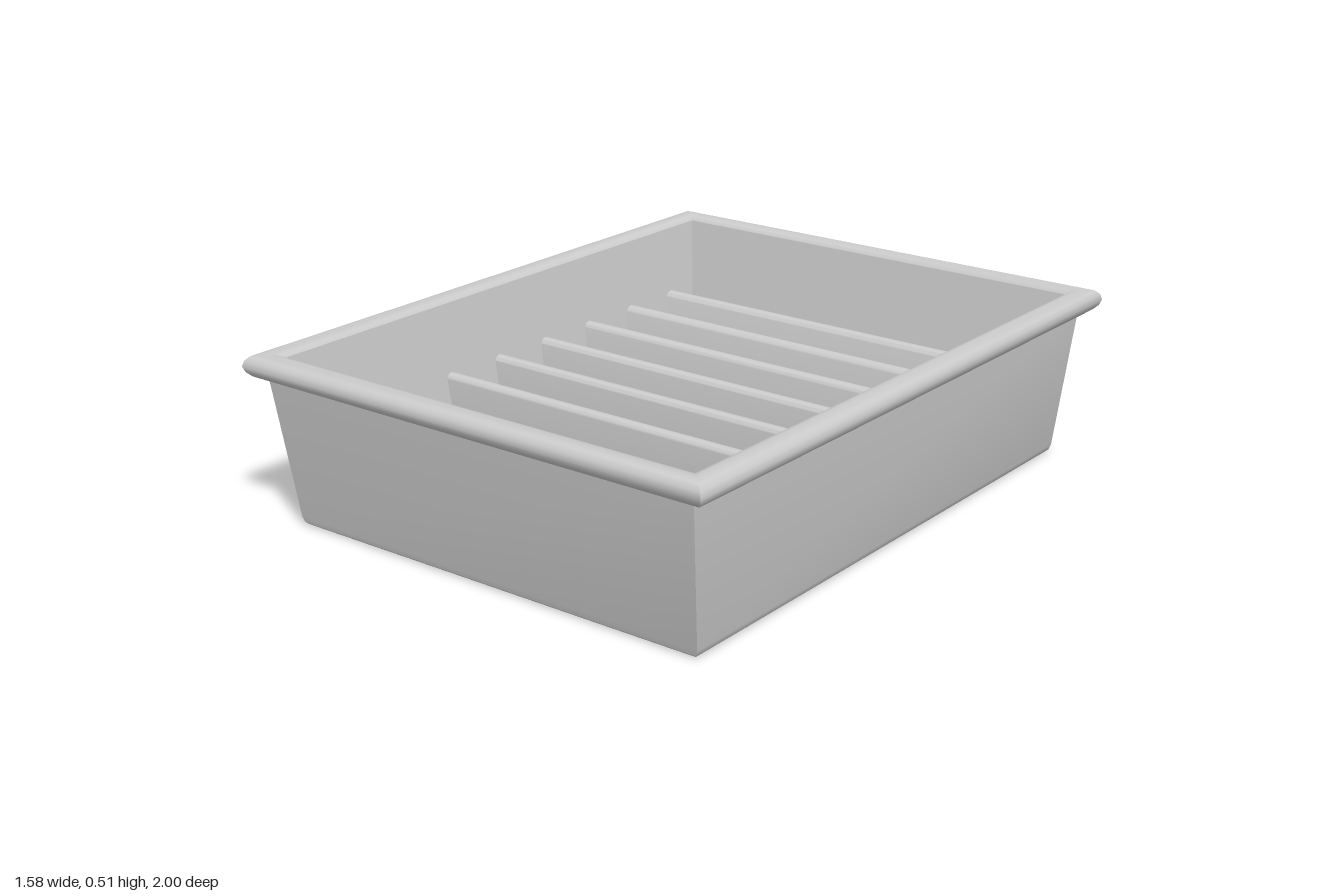
import * as THREE from 'three';
import { toCreasedNormals } from 'three/addons/utils/BufferGeometryUtils.js';

const FLOOR_Y = 0.08, FLOOR_T = 0.02;
const RIB_TOP = 0.295, RIB_BOTTOM = 0.03, RIB_W = 0.042, RIB_WALL = 0.009;
const RIBS = 8;

// Mitred rectangular frame swept from a profile of [half width, half depth, y]
function frame(profile, crease = 0.6) {
  const corners = [[1, 1], [1, -1], [-1, -1], [-1, 1]];
  const pos = [];
  const at = (k, [w, d, y]) => [corners[k % 4][0] * w, y, corners[k % 4][1] * d];
  for (let k = 0; k < 4; k++) {
    for (let i = 0; i + 1 < profile.length; i++) {
      const a = at(k, profile[i]), b = at(k + 1, profile[i]);
      const c = at(k + 1, profile[i + 1]), d = at(k, profile[i + 1]);
      pos.push(...a, ...b, ...c, ...a, ...c, ...d);
    }
  }
  const g = new THREE.BufferGeometry();
  g.setAttribute('position', new THREE.Float32BufferAttribute(pos, 3));
  return toCreasedNormals(g, crease);
}

// Widen a geometry with height so it follows the draft of the walls
function taper(g) {
  const p = g.attributes.position;
  for (let i = 0; i < p.count; i++) {
    const f = 1 + 0.19 * (p.getY(i) - FLOOR_Y);
    p.setX(i, p.getX(i) * f);
    p.setZ(i, p.getZ(i) * f);
  }
  return g;
}

// Hollow divider: upside-down U with a rounded top, open below
function ribGeometry(z, halfLength) {
  const r = RIB_W / 2, ri = r - RIB_WALL, shoulder = RIB_TOP - r;
  const s = new THREE.Shape();
  s.moveTo(r, RIB_BOTTOM);
  s.lineTo(r, shoulder);
  s.absarc(0, shoulder, r, 0, Math.PI, false);
  s.lineTo(-r, RIB_BOTTOM);
  s.lineTo(-ri, RIB_BOTTOM);
  s.lineTo(-ri, shoulder);
  s.absarc(0, shoulder, ri, Math.PI, 0, true);
  s.lineTo(ri, RIB_BOTTOM);
  s.closePath();
  const g = new THREE.ExtrudeGeometry(s, { depth: 2 * halfLength, bevelEnabled: false, curveSegments: 8 });
  g.translate(0, 0, -halfLength).rotateY(Math.PI / 2).translate(0, 0, z);
  return toCreasedNormals(taper(g), 0.6);
}

export function createModel() {
  const group = new THREE.Group();
  const mat = new THREE.MeshStandardMaterial({ color: 0xcccccc, side: THREE.DoubleSide });
  const add = (name, geometry, parent = group) => {
    const m = new THREE.Mesh(geometry, mat);
    m.name = name;
    parent.add(m);
    return m;
  };

  // Drafted outer walls with a thin skirt below the floor
  add('outerWalls', frame([
    [0.68, 0.875, FLOOR_Y - FLOOR_T], [0.676, 0.872, 0.003], [0.685, 0.882, 0],
    [0.695, 0.892, 0.008], [0.701, 0.897, 0.025], [0.735, 0.955, 0.452],
  ]));

  // Rolled rim
  add('rim', frame([
    [0.733, 0.953, 0.448], [0.752, 0.965, 0.446], [0.77, 0.98, 0.452], [0.783, 0.993, 0.465],
    [0.789, 1, 0.482], [0.784, 0.995, 0.499], [0.772, 0.983, 0.511], [0.755, 0.967, 0.515],
    [0.735, 0.948, 0.515], [0.72, 0.932, 0.511], [0.711, 0.924, 0.5],
  ], 0.8));

  // Sloping inner walls
  add('innerWalls', frame([[0.711, 0.924, 0.5], [0.655, 0.86, FLOOR_Y]]));

  // Cross dividers, evenly spaced
  const ribs = new THREE.Group();
  ribs.name = 'dividers';
  group.add(ribs);
  const ribZ = Array.from({ length: RIBS }, (_, i) => -0.742 + 0.2045 * i);
  ribZ.forEach((z) => add('divider', ribGeometry(z, 0.662), ribs));

  // Floor panels between the dividers
  const floor = new THREE.Group();
  floor.name = 'floor';
  group.add(floor);
  const stops = [-0.878 - RIB_W / 2, ...ribZ, 0.878 + RIB_W / 2];
  for (let i = 0; i + 1 < stops.length; i++) {
    const z0 = stops[i] + RIB_W / 2 - 0.002, z1 = stops[i + 1] - RIB_W / 2 + 0.002;
    const panel = add('floorPanel', new THREE.BoxGeometry(1.37, FLOOR_T, z1 - z0), floor);
    panel.position.set(0, FLOOR_Y - FLOOR_T / 2, (z0 + z1) / 2);
  }
  return group;
}
